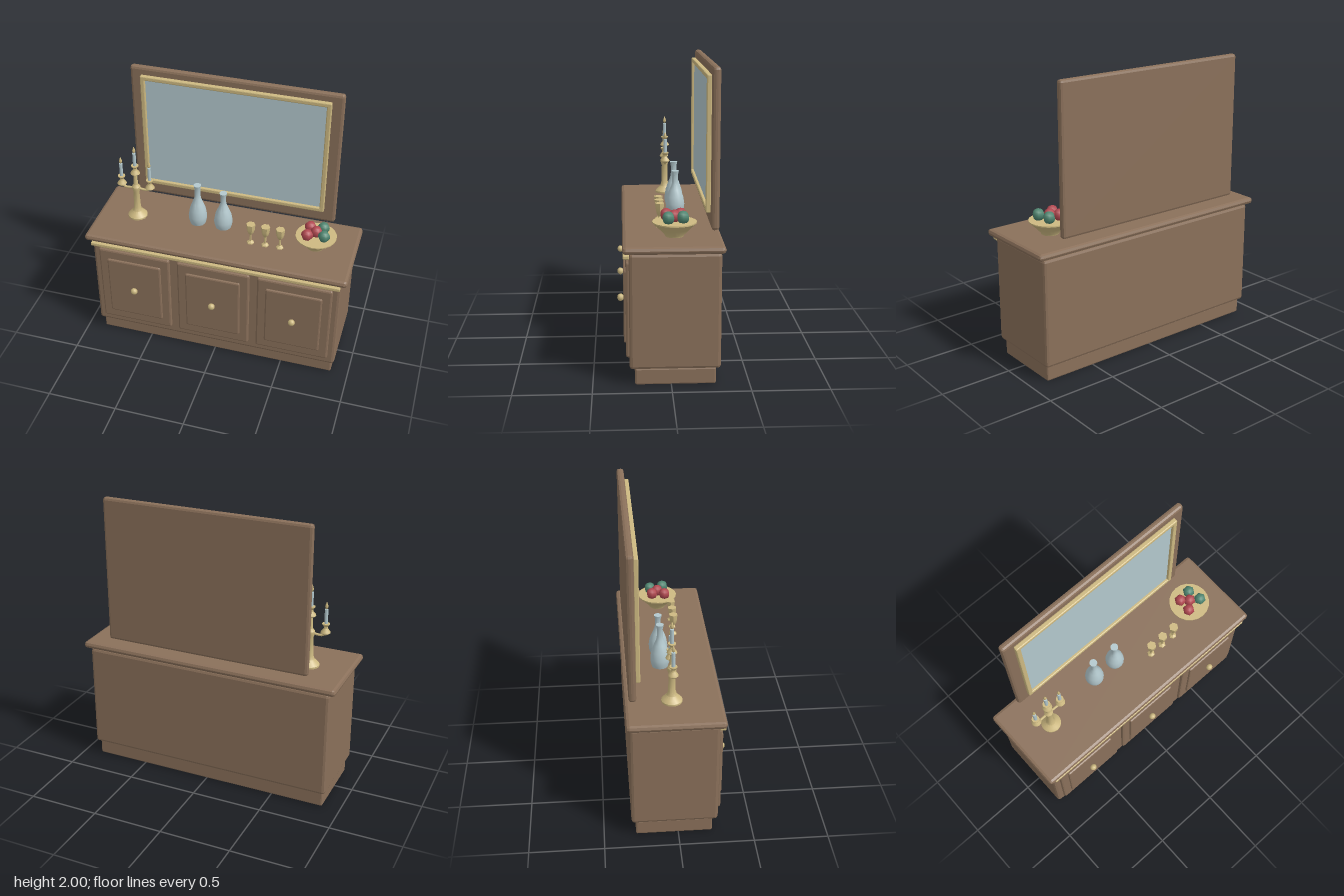
import * as THREE from 'three';
import { RoundedBoxGeometry } from 'three/addons/geometries/RoundedBoxGeometry.js';
import { toCreasedNormals } from 'three/addons/utils/BufferGeometryUtils.js';

const material = (name, color) => {
  const m = new THREE.MeshStandardMaterial({ color });
  m.name = name;
  return m;
};

export function createModel() {
  const model = new THREE.Group();
  model.name = 'sideboardWithMirror';
  const wood = material('wood', 0x8a705a);
  const gold = material('gold', 0xcdb981);
  const glass = material('paleBlueGlass', 0xb3c8cd);
  const red = material('redFruit', 0xb04850);
  const green = material('greenFruit', 0x4f8570);

  const add = (name, geometry, mat, x = 0, y = 0, z = 0, parent = model) => {
    const mesh = new THREE.Mesh(geometry, mat);
    mesh.name = name;
    mesh.position.set(x, y, z);
    parent.add(mesh);
    return mesh;
  };

  // Box with bevelled edges, given by its limits on each axis
  const block = (name, mat, [x0, x1], [y0, y1], [z0, z1], bevel) => {
    const geometry = new RoundedBoxGeometry(x1 - x0, y1 - y0, z1 - z0, 1, bevel);
    geometry.computeVertexNormals();
    return add(name, geometry, mat, (x0 + x1) / 2, (y0 + y1) / 2, (z0 + z1) / 2);
  };

  // Turned part from [radius, height] pairs, listed bottom to top
  const turned = (points, sides) => toCreasedNormals(
    new THREE.LatheGeometry(points.map(([r, y]) => new THREE.Vector2(r, y)), sides, Math.PI / 2), 0.6);

  // Cabinet
  block('plinth', wood, [-0.875, 0.875], [0, 0.11], [-0.285, 0.23], 0.01);
  block('cabinetBody', wood, [-0.897, 0.897], [0.11, 0.87], [-0.315, 0.265], 0.02);
  block('worktop', wood, [-0.94, 0.94], [0.873, 0.921], [-0.337, 0.305], 0.022);
  block('goldTrim', gold, [-0.895, 0.895], [0.835, 0.862], [0.262, 0.302], 0.006);

  // Doors with raised panels and knobs
  for (const x of [-0.583, 0, 0.583]) {
    block('door', wood, [x - 0.264, x + 0.264], [0.172, 0.806], [0.24, 0.286], 0.013);
    block('doorPanel', wood, [x - 0.2, x + 0.2], [0.247, 0.732], [0.265, 0.3], 0.011);
    add('doorKnob', new THREE.SphereGeometry(0.025, 16, 6).rotateX(Math.PI / 2).scale(1, 1, 0.88),
      gold, x, 0.49, 0.318);
  }

  // Mirror
  block('mirrorBoard', wood, [-0.74, 0.74], [0.972, 2], [-0.31, -0.26], 0.018);
  for (const s of [-1, 1]) {
    const x = s * 0.645, y = 1.508 + s * 0.423;
    block('mirrorSideBead', gold, [x - 0.016, x + 0.016], [1.07, 1.946], [-0.262, -0.229], 0.007);
    block('mirrorCrossBead', gold, [-0.661, 0.661], [y - 0.0155, y + 0.0155], [-0.262, -0.229], 0.007);
  }
  add('mirrorGlass', new THREE.BoxGeometry(1.27, 0.83, 0.009), glass, 0, 1.508, -0.253);

  // Candelabra
  const candelabra = new THREE.Group();
  candelabra.name = 'candelabra';
  candelabra.position.set(-0.655, 0, -0.027);
  model.add(candelabra);
  add('candelabraStem', turned([
    [0, 0.92], [0.07, 0.92], [0.07, 0.933], [0.055, 0.95], [0.034, 0.97], [0.025, 1.0],
    [0.021, 1.13], [0.03, 1.155], [0.03, 1.175], [0.016, 1.195], [0.012, 1.28], [0, 1.28]
  ], 16), gold, 0, 0, 0, candelabra);
  const cup = turned([
    [0, 0], [0.02, 0], [0.034, 0.012], [0.03, 0.022], [0.014, 0.042], [0.013, 0.055],
    [0.026, 0.072], [0.026, 0.078], [0, 0.078]], 12);
  const candle = new THREE.CylinderGeometry(0.012, 0.012, 0.1, 12);
  const flame = turned([[0, 0], [0.008, 0.008], [0.012, 0.021], [0.006, 0.04], [0, 0.056]], 8);
  for (const [x, y] of [[-0.105, 1.17], [0, 1.275], [0.105, 1.17]]) {
    add('candleCup', cup, gold, x, y, 0, candelabra);
    add('candle', candle, glass, x, y + 0.128, 0, candelabra);
    add('flame', flame, gold, x, y + 0.178, 0, candelabra);
    if (x) {
      const path = new THREE.CatmullRomCurve3([
        new THREE.Vector3(0, 1.17, 0), new THREE.Vector3(x * 0.45, 1.158, 0),
        new THREE.Vector3(x * 0.8, 1.16, 0), new THREE.Vector3(x, 1.176, 0)]);
      add('candelabraArm', new THREE.TubeGeometry(path, 10, 0.009, 8), gold, 0, 0, 0, candelabra);
    }
  }

  // Carafes
  for (const [x, height] of [[-0.213, 0.32], [-0.024, 0.29]]) {
    const profile = [[0, 0], [0.055, 0], [0.064, 0.1], [0.066, 0.2], [0.058, 0.37], [0.04, 0.53],
      [0.025, 0.65], [0.02, 0.74], [0.02, 0.9], [0.027, 1], [0, 1]];
    add('carafe', turned(profile.map(([r, t]) => [r, t * height]), 18), glass, x, 0.92, -0.072);
  }

  // Goblets
  const goblet = turned([[0, 0], [0.028, 0], [0.026, 0.008], [0.008, 0.02], [0.008, 0.075],
    [0.022, 0.092], [0.029, 0.12], [0.033, 0.162], [0, 0.162]], 6);
  for (const x of [0.21, 0.315, 0.42]) add('goblet', goblet, gold, x, 0.92, 0.055);

  // Fruit bowl
  add('fruitBowl', turned([[0, 0], [0.06, 0], [0.064, 0.012], [0.1, 0.05], [0.143, 0.09],
    [0.143, 0.098], [0, 0.098]], 20), gold, 0.655, 0.92, -0.03);
  const fruit = new THREE.SphereGeometry(0.042, 6, 10);
  for (const [x, y, z, mat] of [
    [0.605, 1.05, -0.073, red], [0.655, 1.05, -0.03, red], [0.6, 1.048, 0.02, red],
    [0.695, 1.052, -0.083, green], [0.716, 1.053, 0.012, green]]) add('fruit', fruit, mat, x, y, z);

  return model;
}
